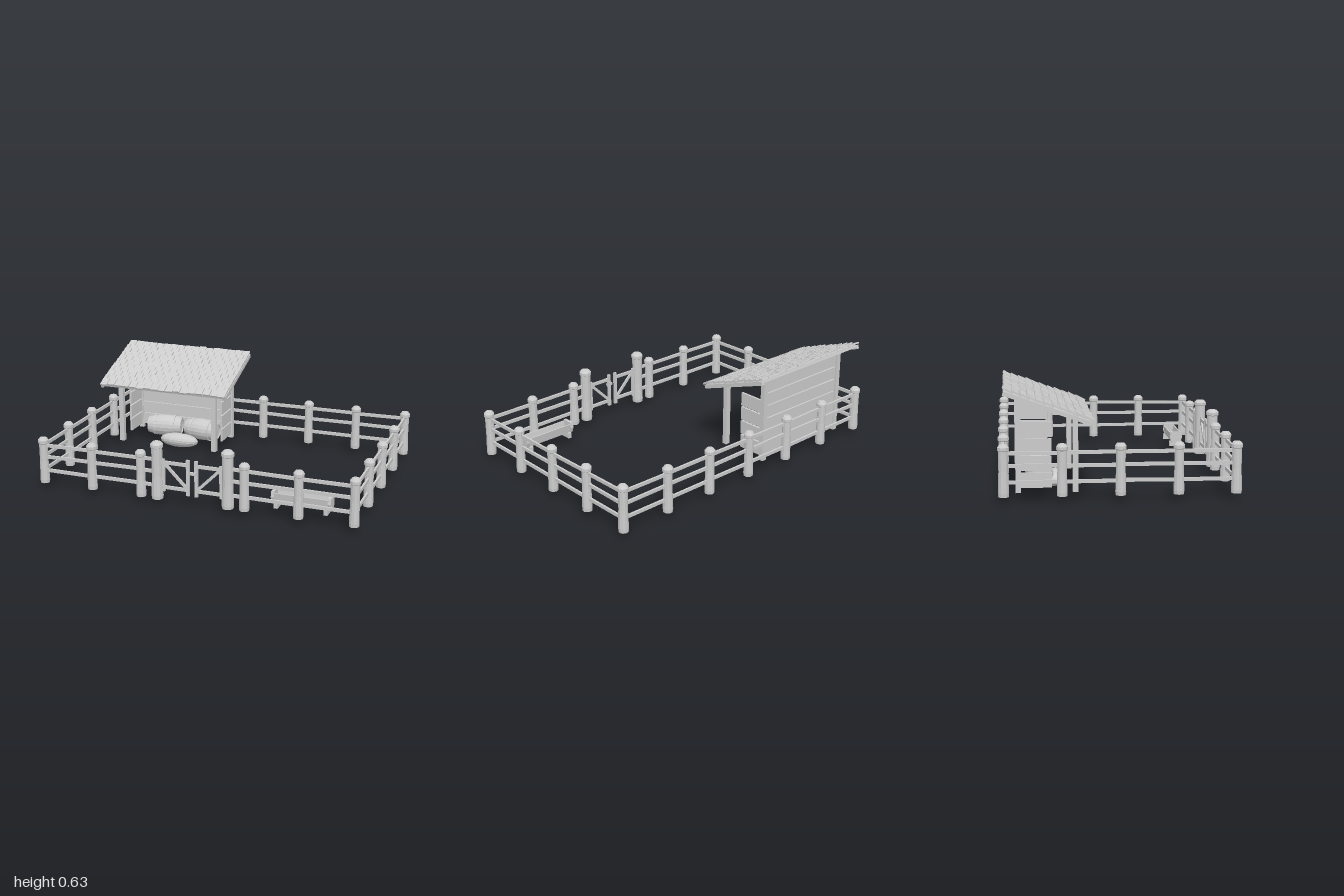
import * as THREE from 'three';

const mat = new THREE.MeshStandardMaterial({ color: 0xcccccc, flatShading: true });
const open = new THREE.MeshStandardMaterial({ color: 0xcccccc, flatShading: true, side: THREE.DoubleSide });

// Small seeded generator for hand-made irregularity
let seed = 7;
const rnd = (a) => {
  seed = (seed * 16807) % 2147483647;
  return (seed / 2147483647 - 0.5) * 2 * a;
};

function add(parent, name, geometry, x = 0, y = 0, z = 0, material = mat) {
  const m = new THREE.Mesh(geometry, material);
  m.name = name;
  m.position.set(x, y, z);
  parent.add(m);
  return m;
}
const box = (parent, name, w, h, d, x, y, z) => add(parent, name, new THREE.BoxGeometry(w, h, d), x, y, z);

function group(parent, name) {
  const g = new THREE.Group();
  g.name = name;
  parent.add(g);
  return g;
}

// Flat board between two points
function plank(parent, name, a, b, height, thick) {
  const A = new THREE.Vector3(...a), B = new THREE.Vector3(...b);
  const m = box(parent, name, thick, height, A.distanceTo(B), 0, 0, 0);
  m.position.copy(A).add(B).multiplyScalar(0.5);
  m.lookAt(B);
  return m;
}

const lathe = (pts, sides) => new THREE.LatheGeometry(pts.map((p) => new THREE.Vector2(...p)), sides);

// Round timber post with a slightly wider chamfered cap
function post(parent, name, x, z, top, r) {
  const y0 = 0.04;
  const m = add(parent, name, lathe([
    [0, y0], [r * 0.95, y0], [r, y0 + 0.02], [r * 0.88, 0.18], [r * 0.9, top - 0.036],
    [r * 1.06, top - 0.032], [r * 1.06, top - 0.014], [r * 0.7, top], [0, top + 0.003],
  ], 12), x, 0, z);
  m.rotation.y = rnd(1);
}

const RAILS = [0.12, 0.207, 0.278];
function rails(parent, x0, z0, x1, z1) {
  for (const y of RAILS) {
    plank(parent, 'fenceRail', [x0, y + rnd(0.003), z0], [x1, y + rnd(0.003), z1], 0.02, 0.012);
  }
}

function buildFence(root) {
  const fence = group(root, 'fence');
  const xs = [-0.968, -0.645, -0.325, 0, 0.32, 0.642, 0.965];
  const zs = [-0.64, -0.325, -0.008, 0.31, 0.627];
  const [back, front] = [zs[0], zs[4]];
  xs.forEach((x, i) => {
    post(fence, 'fencePost', x, back, 0.325, 0.03);
    if (i !== 3) post(fence, 'fencePost', x, front, 0.325, 0.03);
    if (i > 0) rails(fence, xs[i - 1], back, x, back);
  });
  for (const x of [xs[0], xs[6]]) {
    zs.forEach((z, i) => {
      if (i > 0 && i < 4) post(fence, 'fencePost', x, z, 0.325, 0.03);
      if (i > 0) rails(fence, x, zs[i - 1], x, z);
    });
  }
  const frontSpans = [[-0.968, -0.645], [-0.645, -0.325], [-0.325, -0.22], [0.22, 0.32], [0.32, 0.642], [0.642, 0.965]];
  for (const [a, b] of frontSpans) rails(fence, a, front, b, front);

  // Double gate with a V of braces
  const gate = group(root, 'gate');
  for (const s of [-1, 1]) {
    post(gate, 'gatePost', s * 0.22, front, 0.39, 0.036);
    const leaf = group(gate, 'gateLeaf');
    for (const y of [0.115, 0.268]) box(leaf, 'gateRail', 0.18, 0.02, 0.012, s * 0.108, y, front);
    box(leaf, 'gateStile', 0.02, 0.22, 0.014, s * 0.026, 0.19, front);
    box(leaf, 'gateStile', 0.016, 0.2, 0.012, s * 0.178, 0.19, front);
    plank(leaf, 'gateBrace', [s * 0.17, 0.26, front], [s * 0.03, 0.12, front], 0.018, 0.01);
  }
  box(gate, 'gateLatch', 0.04, 0.016, 0.016, 0.012, 0.225, front + 0.014);
}

function buildShed(root) {
  const shed = group(root, 'shed');
  const cx = -0.535, half = 0.33;
  for (const s of [-1, 1]) {
    const x = cx + s * half;
    box(shed, 'shedFrontPost', 0.032, 0.415, 0.03, x, 0.2475, -0.247);
    box(shed, 'shedBackPost', 0.032, 0.53, 0.03, x, 0.305, -0.56);
    // Side wall boards
    for (let i = 0; i < 4; i++) {
      const b = box(shed, 'sideWallBoard', 0.014, 0.084, 0.18, x, 0.108 + i * 0.0935, -0.467);
      b.rotation.x = rnd(0.008);
    }
  }
  // Back wall boards
  for (let i = 0; i < 6; i++) {
    const b = box(shed, 'backWallBoard', half * 2, 0.076, 0.014, cx, 0.105 + i * 0.083, -0.557);
    b.rotation.z = rnd(0.006);
  }

  // Sloping roof: deck, rafters and overlapping shingles, local +z runs down the slope
  const roof = group(shed, 'roof');
  roof.position.set(cx, 0.518, -0.4);
  roof.rotation.x = Math.atan2(0.175, 0.49);
  const L = 0.505, W = 0.88;
  box(roof, 'roofDeck', W, 0.012, L, 0, 0.004, 0);
  for (const s of [-1, 1]) box(roof, 'roofEdgeBoard', 0.018, 0.02, L, s * (W / 2 - 0.009), -0.004, 0);
  const rows = 11, cols = 17, pitch = L / rows, cw = W / cols;
  for (let r = 0; r < rows; r++) {
    const odd = r % 2;
    for (let c = 0; c < cols + odd; c++) {
      const a = Math.max(-W / 2, -W / 2 + (c - odd / 2) * cw);
      const b = Math.min(W / 2, -W / 2 + (c + 1 - odd / 2) * cw);
      const t = box(roof, 'shingle', b - a - 0.003 + rnd(0.002), 0.01, pitch * 1.3 + rnd(0.006),
        (a + b) / 2, 0.02 + rnd(0.002), -L / 2 + (r + 0.5) * pitch + rnd(0.004));
      t.rotation.x = 0.13 + rnd(0.03);
      t.rotation.z = rnd(0.03);
    }
  }
}

// Barrel lying on its side with two hoops
function barrel(root, x, z, yaw) {
  const g = group(root, 'barrel');
  g.position.set(x, 0.113, z);
  g.rotation.set(0, yaw, Math.PI / 2);
  const radius = (y) => 0.072 - 1.4 * y * y;
  const pts = [[0, -0.108], [0.045, -0.108], [0.045, -0.115]];
  for (let i = 0; i <= 8; i++) {
    const y = -0.115 + (0.23 * i) / 8;
    pts.push([radius(y), y]);
  }
  pts.push([0.045, 0.115], [0.045, 0.108], [0, 0.108]);
  add(g, 'barrelBody', lathe(pts, 18));
  for (const y of [-0.065, 0.065]) {
    add(g, 'barrelHoop', new THREE.CylinderGeometry(radius(y) + 0.004, radius(y) + 0.004, 0.014, 18), 0, y, 0);
  }
}

function buildTrough(root) {
  const g = group(root, 'trough');
  g.position.set(0.63, 0, 0.507);
  // Open flared body
  const s = new THREE.Shape([[-0.03, 0.078], [0.03, 0.078], [0.039, 0.135], [0.031, 0.135],
    [0.024, 0.095], [-0.024, 0.095], [-0.031, 0.135], [-0.039, 0.135]].map((p) => new THREE.Vector2(...p)));
  const body = new THREE.ExtrudeGeometry(s, { depth: 0.33, bevelEnabled: false });
  body.translate(0, 0, -0.165).rotateY(Math.PI / 2);
  add(g, 'troughBody', body, 0, 0, 0, open);
  for (const e of [-1, 1]) {
    const end = new THREE.Shape([[-0.03, 0.075], [0.03, 0.075], [0.041, 0.11], [0.034, 0.145],
      [-0.034, 0.145], [-0.041, 0.11]].map((p) => new THREE.Vector2(...p)));
    const plate = new THREE.ExtrudeGeometry(end, { depth: 0.02, bevelEnabled: false });
    plate.translate(0, 0, -0.01).rotateY(Math.PI / 2);
    add(g, 'troughEnd', plate, e * 0.168, 0, 0);
    box(g, 'troughFoot', 0.024, 0.034, 0.085, e * 0.148, 0.061, 0);
  }
}

export function createModel() {
  const root = new THREE.Group();
  root.name = 'paddock';
  buildFence(root);
  buildShed(root);
  barrel(root, -0.635, -0.44, 0.15);
  barrel(root, -0.365, -0.44, -0.15);
  buildTrough(root);

  // Plump sack lying in front of the barrels
  const sack = new THREE.SphereGeometry(1, 16, 10);
  sack.scale(0.135, 0.047, 0.064);
  add(root, 'sack', sack, -0.497, 0.05, -0.348).rotation.x = -0.25;
  return root;
}
